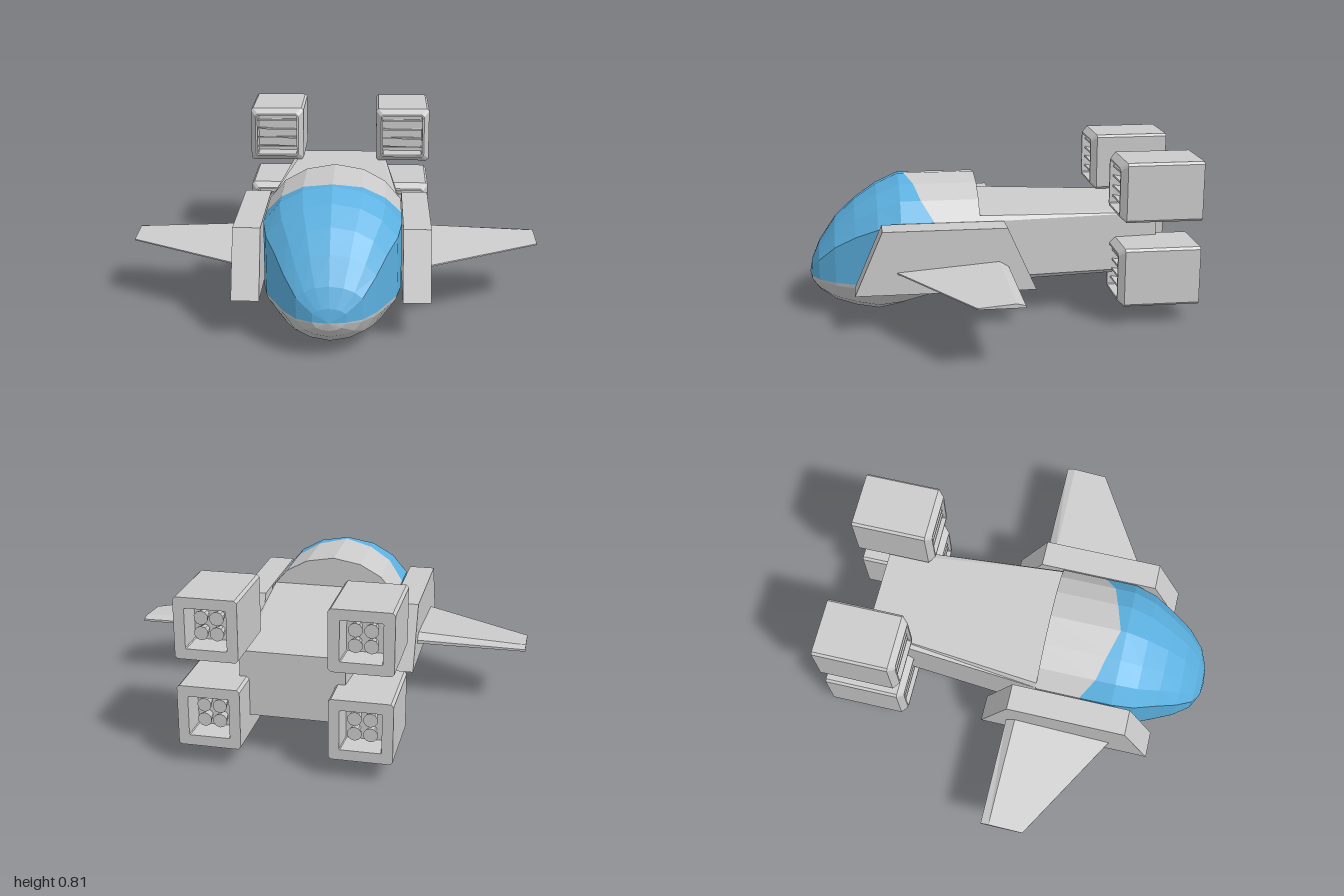
import * as THREE from 'three';

const grey = new THREE.MeshStandardMaterial({ color: 0xcccccc, flatShading: true });
const blue = new THREE.MeshStandardMaterial({ color: 0x5bb0e0, flatShading: true });

// Faceted skin over rings of [x, y, z], counter-clockwise seen from +z
function loft(rings, { closed = true, capStart = true, capEnd = true } = {}) {
  const pos = [];
  const tri = (...points) => points.forEach((p) => pos.push(...p));
  const n = rings[0].length;
  for (let i = 0; i < rings.length - 1; i++) {
    for (let j = 0; j < (closed ? n : n - 1); j++) {
      const k = (j + 1) % n;
      tri(rings[i][j], rings[i][k], rings[i + 1][k]);
      tri(rings[i][j], rings[i + 1][k], rings[i + 1][j]);
    }
  }
  const last = rings[rings.length - 1];
  for (let j = 1; j < n - 1; j++) {
    if (capStart) tri(rings[0][0], rings[0][j + 1], rings[0][j]);
    if (capEnd) tri(last[0], last[j], last[j + 1]);
  }
  const g = new THREE.BufferGeometry();
  g.setAttribute('position', new THREE.Float32BufferAttribute(pos, 3));
  g.computeVertexNormals();
  return g;
}

const mirror = (rings) => rings.map((r) => r.map(([x, y, z]) => [-x, y, z]).reverse());

// Square ring with chamfered corners
function chamferRing(h, c, z) {
  const a = h - c;
  return [[h, -a], [h, a], [a, h], [-a, h], [-h, a], [-h, -a], [-a, -h], [a, -h]].map(([x, y]) => [x, y, z]);
}

function createEngine() {
  const engine = new THREE.Group();
  const add = (geometry, name) => {
    const m = new THREE.Mesh(geometry, grey);
    m.name = name;
    engine.add(m);
    return m;
  };
  // Hollow housing: rear recess, outer skin, front bevel, intake recess
  add(loft([
    chamferRing(0.085, 0.004, -0.09), chamferRing(0.095, 0.004, -0.2),
    chamferRing(0.145, 0.012, -0.2), chamferRing(0.145, 0.012, 0.17),
    chamferRing(0.118, 0.012, 0.2), chamferRing(0.108, 0.004, 0.2),
    chamferRing(0.108, 0.004, 0.1),
  ]), 'engineHousing');
  for (let i = 0; i < 4; i++) {
    const slat = add(new THREE.BoxGeometry(0.214, 0.008, 0.07), 'intakeSlat');
    slat.position.set(0, -0.075 + i * 0.05, 0.15);
    slat.rotation.x = -0.2;
  }
  // Cluster of flared exhaust nozzles
  for (const x of [-0.036, 0.036]) {
    for (const y of [-0.036, 0.036]) {
      const nozzle = add(new THREE.CylinderGeometry(0.02, 0.033, 0.06, 10), 'exhaustNozzle');
      nozzle.rotation.x = Math.PI / 2;
      nozzle.position.set(x, y, -0.12);
    }
  }
  return engine;
}

export function createModel() {
  const model = new THREE.Group();
  const add = (geometry, name, material = grey) => {
    const m = new THREE.Mesh(geometry, material);
    m.name = name;
    model.add(m);
  };

  // Tapered rear fuselage with chamfered long edges
  const bodyRing = (z, side, flat, top) => [
    [flat, 0.2, z], [side, 0.222, z], [side, 0.505, z], [flat, top, z],
    [-flat, top, z], [-side, 0.505, z], [-side, 0.222, z], [-flat, 0.2, z],
  ];
  add(loft([bodyRing(-0.78, 0.245, 0.213, 0.515), bodyRing(0.11, 0.32, 0.305, 0.533)]), 'fuselage');

  // Nose stations: z, top height, half width, bottom height
  const BELT = 0.19;
  const stations = [
    [0.49, 0.685, 0.325, 0.03], [0.6, 0.635, 0.305, 0.003], [0.71, 0.56, 0.255, 0.018],
    [0.81, 0.465, 0.208, 0.05], [0.89, 0.345, 0.148, 0.105], [0.928, 0.255, 0.075, 0.15],
    [0.94, 0.19, 0, 0.19],
  ];
  const half = [[1, 0], [1, 0.645], [0.76, 0.83], [0.43, 0.95]];
  const arch = [...half, [0, 1], ...half.map(([x, y]) => [-x, y]).reverse()];
  const archRing = (z, top, w) => arch.map(([x, y], j) =>
    [x * w, BELT + y * (top - BELT), Array.isArray(z) ? z[Math.min(j, 8 - j)] : z]);
  const seam = archRing([0.32, 0.33, 0.39, 0.42, 0.46], 0.685, 0.325);

  add(loft([archRing(0.11, 0.685, 0.325), seam], { closed: false, capEnd: false }), 'hood');
  add(loft([seam, ...stations.map(([z, top, w]) => archRing(z, top, w))],
    { closed: false, capStart: false, capEnd: false }), 'canopy', blue);

  // Belly under the nose
  const keel = [[-1, 0], [-0.98, 0.12], [-0.76, 0.62], [-0.43, 0.88], [0, 1],
    [0.43, 0.88], [0.76, 0.62], [0.98, 0.12], [1, 0]];
  const bellyStations = [[0.11, 0, 0.325, 0.19], [0.2, 0, 0.325, 0.15], ...stations];
  add(loft(bellyStations.map(([z, , w, low]) => keel.map(([x, y]) => [x * w, BELT - y * (BELT - low), z])),
    { closed: false, capStart: false, capEnd: false }), 'belly');

  // Side pods and wings, mirrored
  const podRing = (zLow, zHigh) => [
    [0.33, 0.2, zLow], [0.46, 0.2, zLow], [0.46, 0.51, zHigh], [0.33, 0.51, zHigh],
  ];
  const pod = [podRing(-0.145, -0.005), podRing(0.72, 0.585)];
  const wingRing = (zRoot, zTip, rootTop, tipTop) => [
    [0.45, 0.303, zRoot], [1, 0.305, zTip], [1, tipTop, zTip], [0.45, rootTop, zRoot],
  ];
  const wing = [
    wingRing(-0.01, -0.01, 0.32, 0.315), wingRing(0.035, 0.03, 0.348, 0.325),
    wingRing(0.525, 0.2, 0.31, 0.311),
  ];
  add(loft(pod), 'leftPod');
  add(loft(mirror(pod)), 'rightPod');
  add(loft(wing), 'leftWing');
  add(loft(mirror(wing)), 'rightWing');

  // Four engines around the tail
  for (const [side, x] of [['left', 0.345], ['right', -0.345]]) {
    for (const [level, y] of [['Upper', 0.665], ['Lower', 0.245]]) {
      const engine = createEngine();
      engine.name = `${side}${level}Engine`;
      engine.position.set(x, y, -0.74);
      model.add(engine);
    }
  }
  return model;
}
